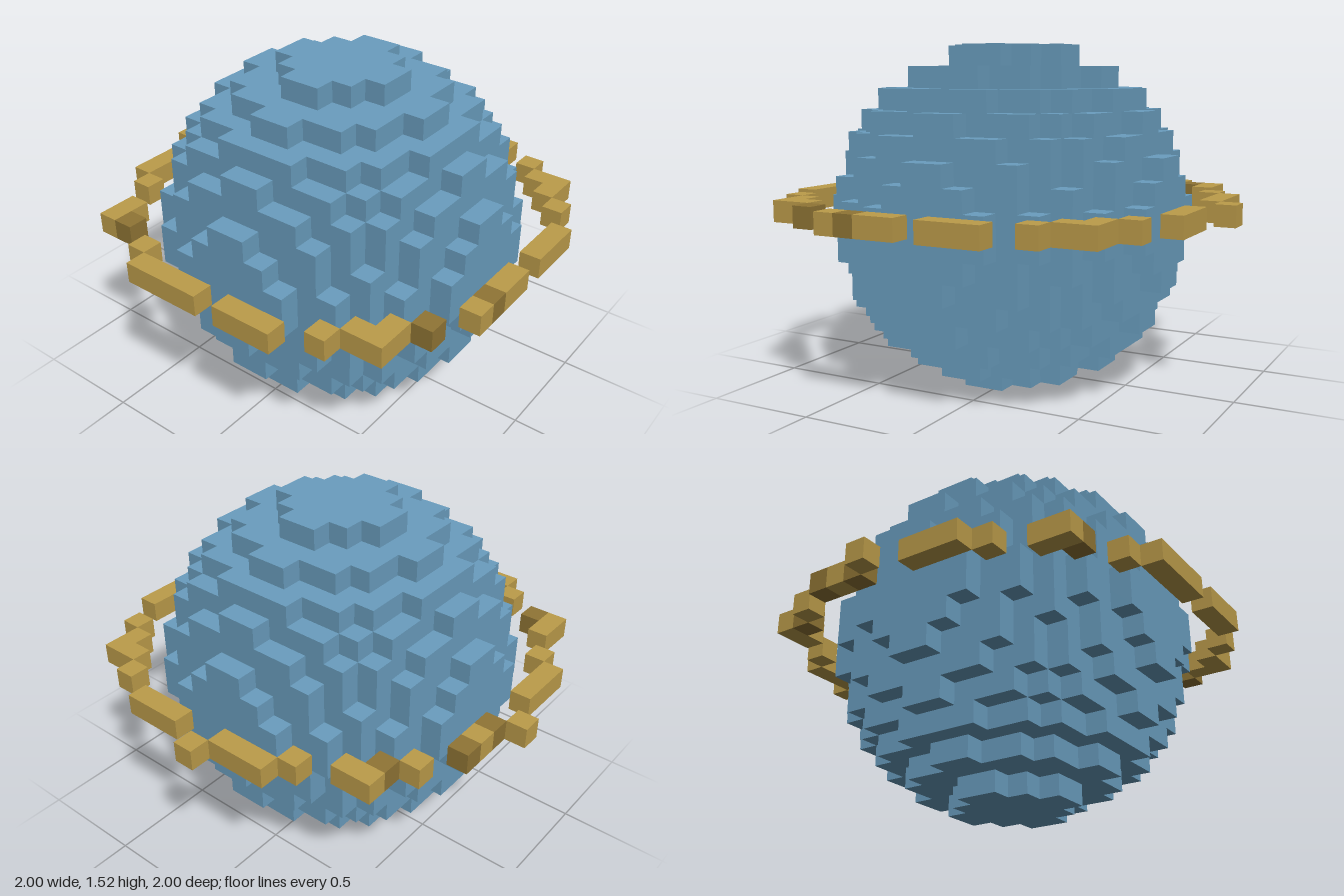
import * as THREE from 'three';

const U = 2 / 21; // one voxel

export function createModel() {
  const blue = new THREE.MeshStandardMaterial({ color: 0x6a9ebf });
  blue.name = 'planetBlue';
  const gold = new THREE.MeshStandardMaterial({ color: 0xbc9c4a });
  gold.name = 'ringGold';
  const darkGold = new THREE.MeshStandardMaterial({ color: 0x907535 });
  darkGold.name = 'ringDarkGold';

  const model = new THREE.Group();
  model.name = 'ringedPlanet';

  // Planet: sixteen stepped discs, each one voxel thick
  const planet = new THREE.Group();
  planet.name = 'planet';
  for (let layer = 0; layer < 16; layer++) {
    const y = layer - 7.5;
    const front = [], back = [];
    for (let x = -7.5; x < 8; x++) {
      const room = 64 - y * y - x * x;
      if (room < 0.25) continue;
      const half = Math.floor(Math.sqrt(room) + 0.5); // whole voxels each side
      for (const edge of [x - 0.5, x + 0.5]) {
        const last = front[front.length - 1];
        // skip the repeated corner between columns of equal depth
        if (last && last.x === edge * U && last.y === -half * U) continue;
        front.push(new THREE.Vector2(edge * U, -half * U));
        back.unshift(new THREE.Vector2(edge * U, half * U));
      }
    }
    const disc = new THREE.ExtrudeGeometry(new THREE.Shape([...front, ...back]), {
      depth: U, bevelEnabled: false,
    });
    disc.rotateX(-Math.PI / 2);
    const mesh = new THREE.Mesh(disc, blue);
    mesh.name = `planetLayer${layer + 1}`;
    mesh.position.set(-U / 2, layer * U, U / 2);
    planet.add(mesh);
  }
  model.add(planet);

  // Ring: broken runs of voxels as [column, row, columns wide, rows deep]
  const ring = new THREE.Group();
  ring.name = 'ring';
  const addRuns = (name, material, runs) => {
    for (const [i, k, w = 1, d = 1] of runs) {
      const mesh = new THREE.Mesh(new THREE.BoxGeometry(w * U, U, d * U), material);
      mesh.name = name;
      mesh.position.set(-1 + (i + w / 2) * U, 8.5 * U, -1 + (k + d / 2) * U);
      ring.add(mesh);
    }
  };
  addRuns('ringBlock', gold, [
    // back
    [10, 0], [6, 1, 3], [12, 1], [5, 2], [15, 2], [2, 3, 2], [17, 3, 1, 2],
    // sides
    [1, 6], [18, 6], [0, 7, 1, 4], [19, 7, 1, 3], [20, 10],
    [0, 12, 1, 3], [19, 12, 1, 3], [1, 16], [18, 16],
    // front
    [2, 17, 1, 2], [3, 18], [17, 17, 1, 2], [16, 18], [15, 19],
    [6, 20], [8, 20, 2], [11, 20, 3],
  ]);
  addRuns('darkRingBlock', darkGold, [
    [11, 1], [13, 1], [16, 3], [2, 4], [4, 19], [7, 20],
  ]);
  model.add(ring);

  return model;
}
